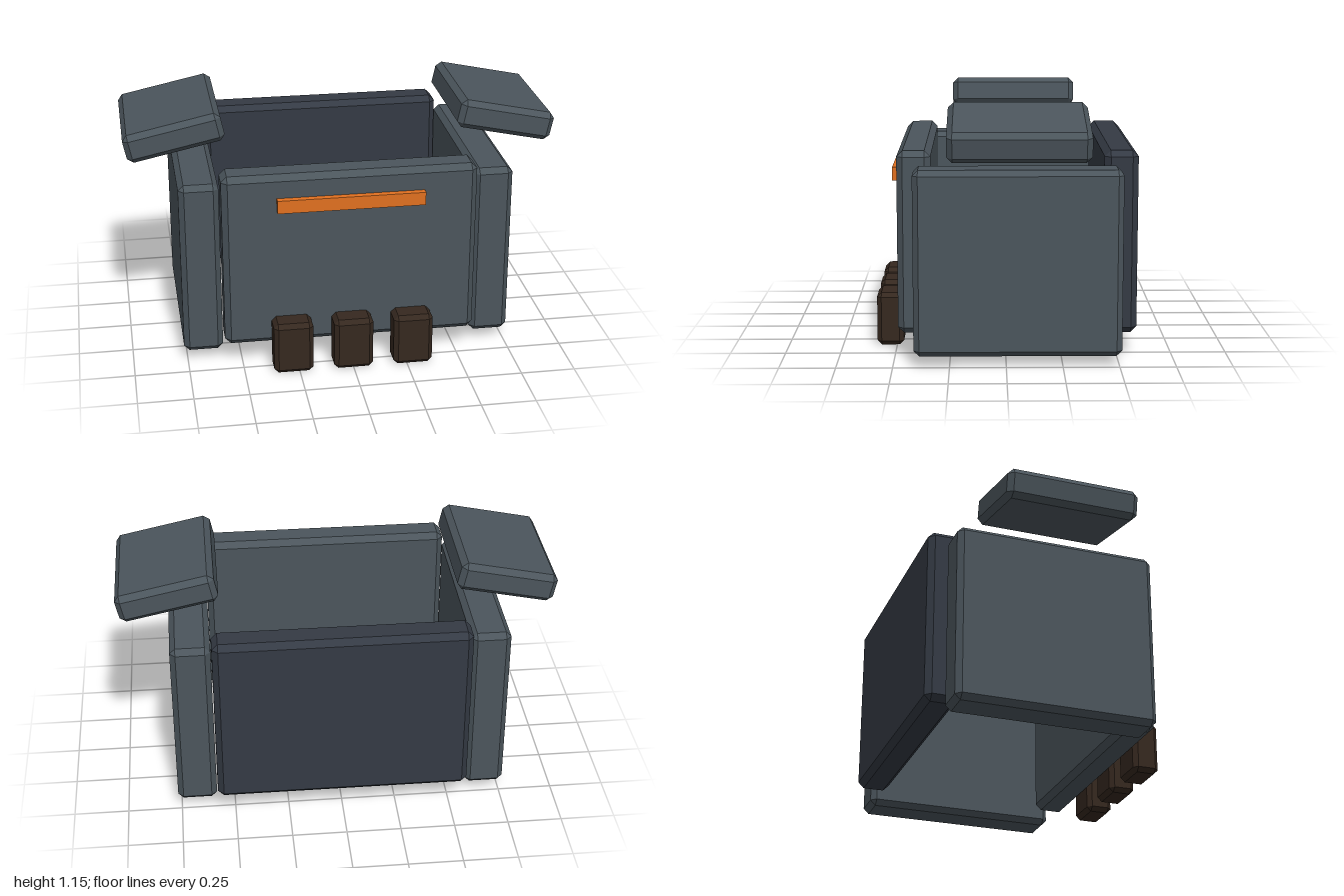
import * as THREE from 'three';
import { ConvexGeometry } from 'three/addons/geometries/ConvexGeometry.js';

const material = (color) => new THREE.MeshStandardMaterial({ color, flatShading: true });

// Box with every edge cut by a flat bevel
function bevelledBox(w, h, d, bevel) {
  const points = [];
  for (const sx of [-1, 1]) for (const sy of [-1, 1]) for (const sz of [-1, 1]) {
    const x = w / 2, y = h / 2, z = d / 2;
    points.push(
      new THREE.Vector3(sx * x, sy * (y - bevel), sz * (z - bevel)),
      new THREE.Vector3(sx * (x - bevel), sy * y, sz * (z - bevel)),
      new THREE.Vector3(sx * (x - bevel), sy * (y - bevel), sz * z)
    );
  }
  return new ConvexGeometry(points);
}

export function createModel() {
  const model = new THREE.Group();
  model.name = 'armourPlates';
  const steel = material(0x4b555c);
  const darkSteel = material(0x343a44);
  const leather = material(0x35281f);
  const orange = material(0xe07020);

  const add = (name, geometry, mat, x, y, z) => {
    const mesh = new THREE.Mesh(geometry, mat);
    mesh.name = name;
    mesh.position.set(x, y, z);
    model.add(mesh);
    return mesh;
  };

  // Front and back plates
  const plate = bevelledBox(1.16, 0.827, 0.151, 0.027);
  add('frontPlate', plate, steel, 0, 0.523, 0.409);
  add('backPlate', plate, darkSteel, 0, 0.523, -0.513);

  // Side plates and tilted shoulder plates
  const side = bevelledBox(0.181, 0.827, 0.918, 0.025);
  const shoulder = bevelledBox(0.452, 0.135, 0.612, 0.025);
  for (const [label, s] of [['left', 1], ['right', -1]]) {
    add(label + 'SidePlate', side, steel, s * 0.675, 0.463, -0.051);
    const pad = add(label + 'ShoulderPlate', shoulder, steel, s * 0.766, 1.046, -0.052);
    pad.rotation.z = -s * 0.21;
  }

  // Glowing strip across the chest
  add('chestStrip', new THREE.BoxGeometry(0.67, 0.061, 0.04), orange, 0, 0.799, 0.496);

  // Row of pouches along the lower front
  const pouch = bevelledBox(0.181, 0.247, 0.123, 0.02);
  for (let i = -1; i <= 1; i++) {
    add('pouch' + (i + 2), pouch, leather, i * 0.277, 0.124, 0.53);
  }

  return model;
}
